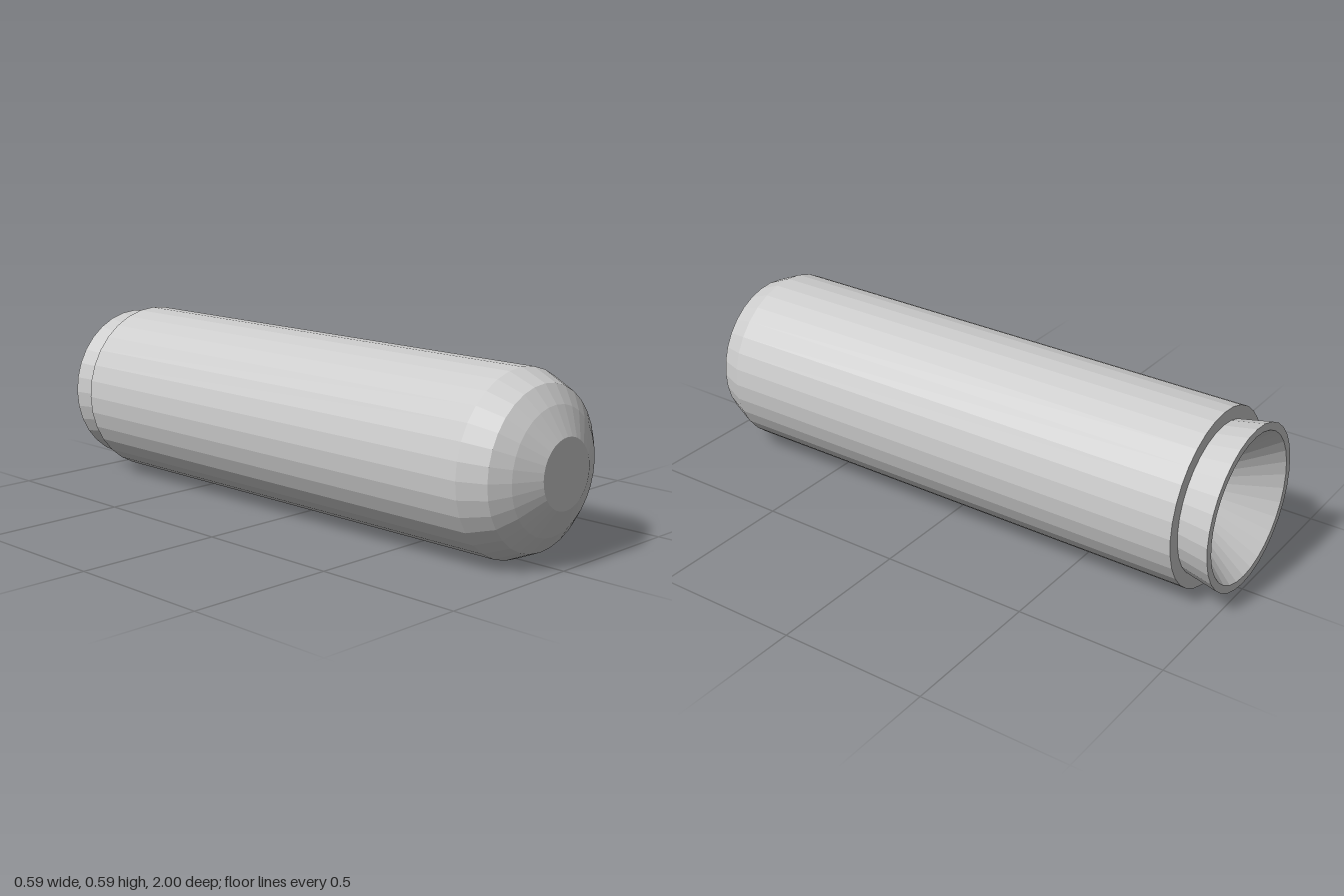
import * as THREE from 'three';

const SIDES = 32;
const CENTRE_Y = 0.295;

export function createModel() {
  const group = new THREE.Group();
  group.name = 'hollowCapsule';
  const grey = new THREE.MeshStandardMaterial({ color: 0xcccccc, flatShading: true });
  grey.name = 'plain grey';

  // Turns a profile of [radius, z] pairs around the long axis.
  function turned(name, profile) {
    const points = profile.map(([r, z]) => new THREE.Vector2(r, z));
    const geometry = new THREE.LatheGeometry(points, SIDES);
    geometry.rotateX(Math.PI / 2);
    const mesh = new THREE.Mesh(geometry, grey);
    mesh.name = name;
    mesh.position.y = CENTRE_Y;
    group.add(mesh);
  }

  // Narrow bore and the funnel opening at the back
  turned('bore', [[0, 0], [0.08, 0], [0.08, -0.8]]);
  turned('funnel', [[0.08, -0.8], [0.247, -1]]);
  // Flared collar around the opening
  turned('collar', [[0.247, -1], [0.273, -1], [0.251, -0.89]]);
  // Back shoulder and straight barrel
  turned('barrel', [[0.251, -0.89], [0.295, -0.89], [0.295, 0.825]]);
  // Rounded nose with a flat tip
  turned('nose', [[0.295, 0.825], [0.257, 0.912], [0.2, 0.955], [0.111, 1], [0, 1]]);

  return group;
}
